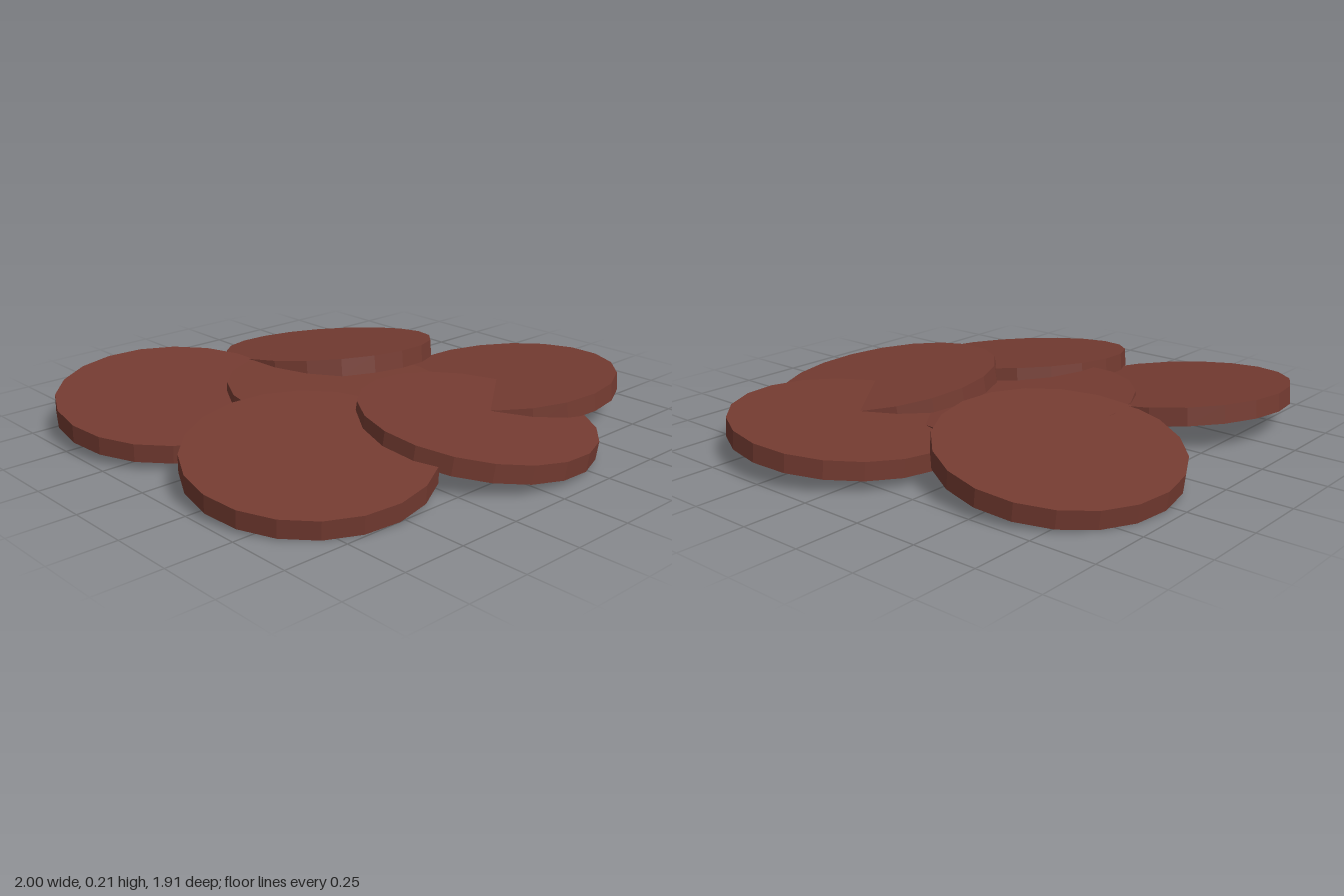
import * as THREE from 'three';

const RADIUS = 0.443;
const THICKNESS = 0.07;

// Each disc: x, height of top centre, z, slope along x, slope along z, spin in degrees
const DISCS = {
  centreDisc: [-0.03, 0.135, -0.07, -0.05, -0.055, 0],
  backRightDisc: [-0.557, 0.14, -0.445, 0.04, -0.1, 1],
  backLeftDisc: [0.305, 0.139, -0.52, -0.055, 0.145, 1],
  frontRightDisc: [-0.54, 0.13, 0.332, 0.07, -0.115, 0],
  frontDisc: [0.11, 0.14, 0.512, -0.09, -0.1, -4.5],
  frontLeftDisc: [0.555, 0.131, 0.26, 0.04, 0.07, 0],
};

export function createModel() {
  const group = new THREE.Group();
  group.name = 'overlappingDiscs';
  const material = new THREE.MeshStandardMaterial({ color: 0x743b31, flatShading: true });
  const up = new THREE.Vector3(0, 1, 0);

  // Flat twenty-sided disc with its origin on the top face
  const geometry = new THREE.CylinderGeometry(RADIUS, RADIUS, THICKNESS, 20);
  geometry.translate(0, -THICKNESS / 2, 0);

  // Pile of tilted discs, five in a ring around one
  for (const [name, [x, y, z, slopeX, slopeZ, spin]] of Object.entries(DISCS)) {
    const disc = new THREE.Mesh(geometry, material);
    disc.name = name;
    disc.position.set(x, y, z);
    const normal = new THREE.Vector3(-slopeX, 1, -slopeZ).normalize();
    disc.quaternion.setFromUnitVectors(up, normal);
    disc.rotateY(THREE.MathUtils.degToRad(spin));
    group.add(disc);
  }
  return group;
}
